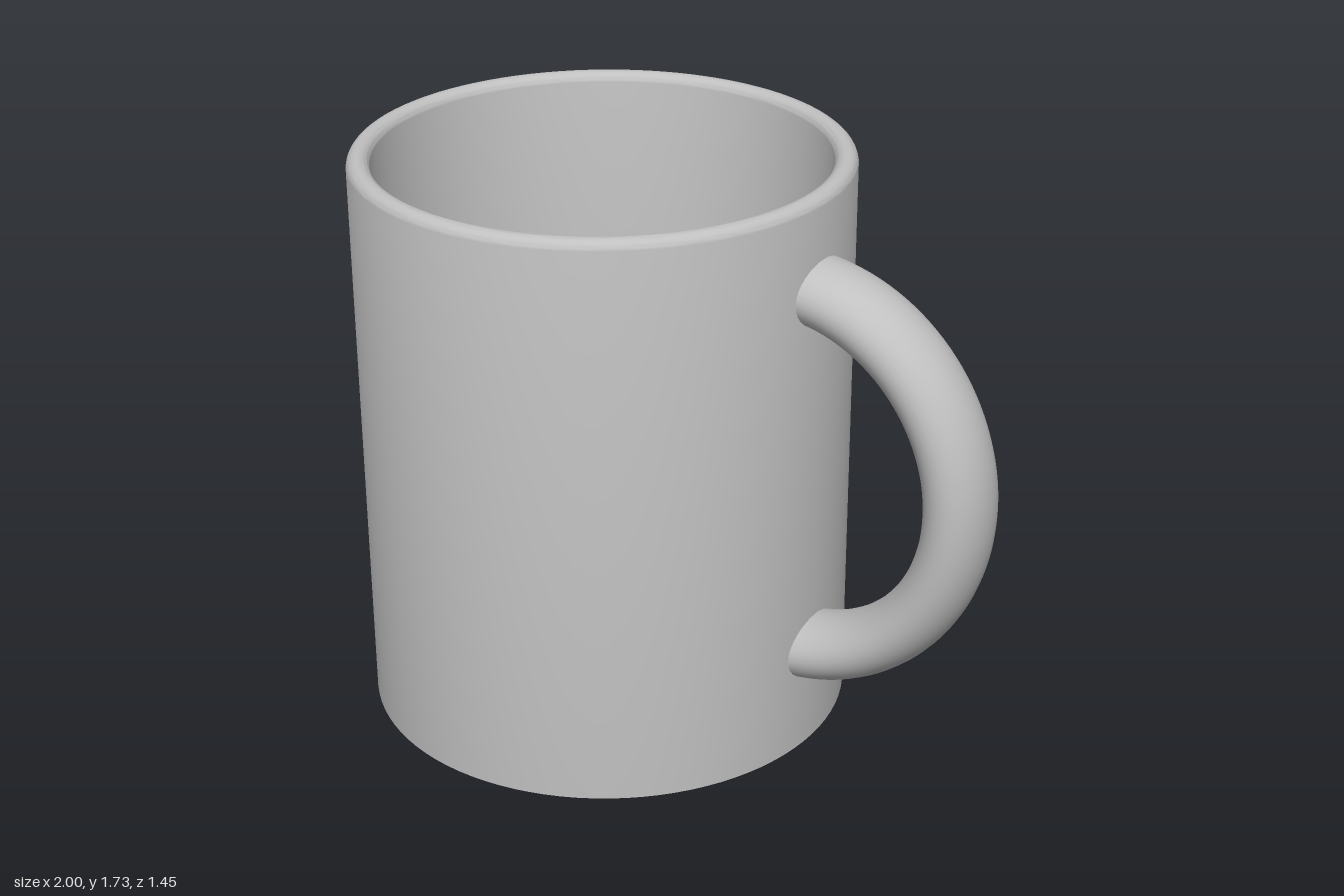
import * as THREE from 'three';
import { toCreasedNormals } from 'three/addons/utils/BufferGeometryUtils.js';

const CUP_X = -0.273, RADIUS = 0.727, HEIGHT = 1.725, WALL = 0.068, FLOOR = 0.07;

// Ellipse arc that forms the centre line of the handle
class HandleCurve extends THREE.Curve {
  getPoint(t, target = new THREE.Vector3()) {
    const a = (t - 0.5) * Math.PI;
    return target.set(0.372 + 0.533 * Math.cos(a), 0.882 + 0.568 * Math.sin(a), 0);
  }
}

export function createModel() {
  const model = new THREE.Group();
  model.name = 'mug';
  const ceramic = new THREE.MeshStandardMaterial({ color: 0xc0c0c0 });
  ceramic.name = 'grey ceramic';

  const add = (name, geometry) => {
    const mesh = new THREE.Mesh(geometry, ceramic);
    mesh.name = name;
    model.add(mesh);
    return mesh;
  };

  // Hollow cup: base, outer wall, rounded rim, inner wall, floor
  const r = WALL / 2;
  const profile = [new THREE.Vector2(0, 0), new THREE.Vector2(RADIUS, 0)];
  for (let i = 0; i <= 16; i++) {
    const a = (i / 16) * Math.PI;
    profile.push(new THREE.Vector2(RADIUS - r + r * Math.cos(a), HEIGHT - r + r * Math.sin(a)));
  }
  profile.push(new THREE.Vector2(RADIUS - WALL, FLOOR), new THREE.Vector2(0, FLOOR));
  const cup = add('cup', toCreasedNormals(new THREE.LatheGeometry(profile, 96), 0.6));
  cup.position.x = CUP_X;

  // Handle: oval tube, wider than it is thick
  const thick = 0.096, widen = 0.13 / thick;
  add('handle', new THREE.TubeGeometry(new HandleCurve(), 64, thick, 32).scale(1, 1, widen));

  // Flat ends of the handle, just inside the cup wall
  for (const [name, side] of [['upperHandleEnd', 1], ['lowerHandleEnd', -1]]) {
    const cap = new THREE.CircleGeometry(thick, 32).rotateY(-Math.PI / 2).scale(1, 1, widen);
    add(name, cap).position.set(0.372, 0.882 + side * 0.568, 0);
  }

  return model;
}
